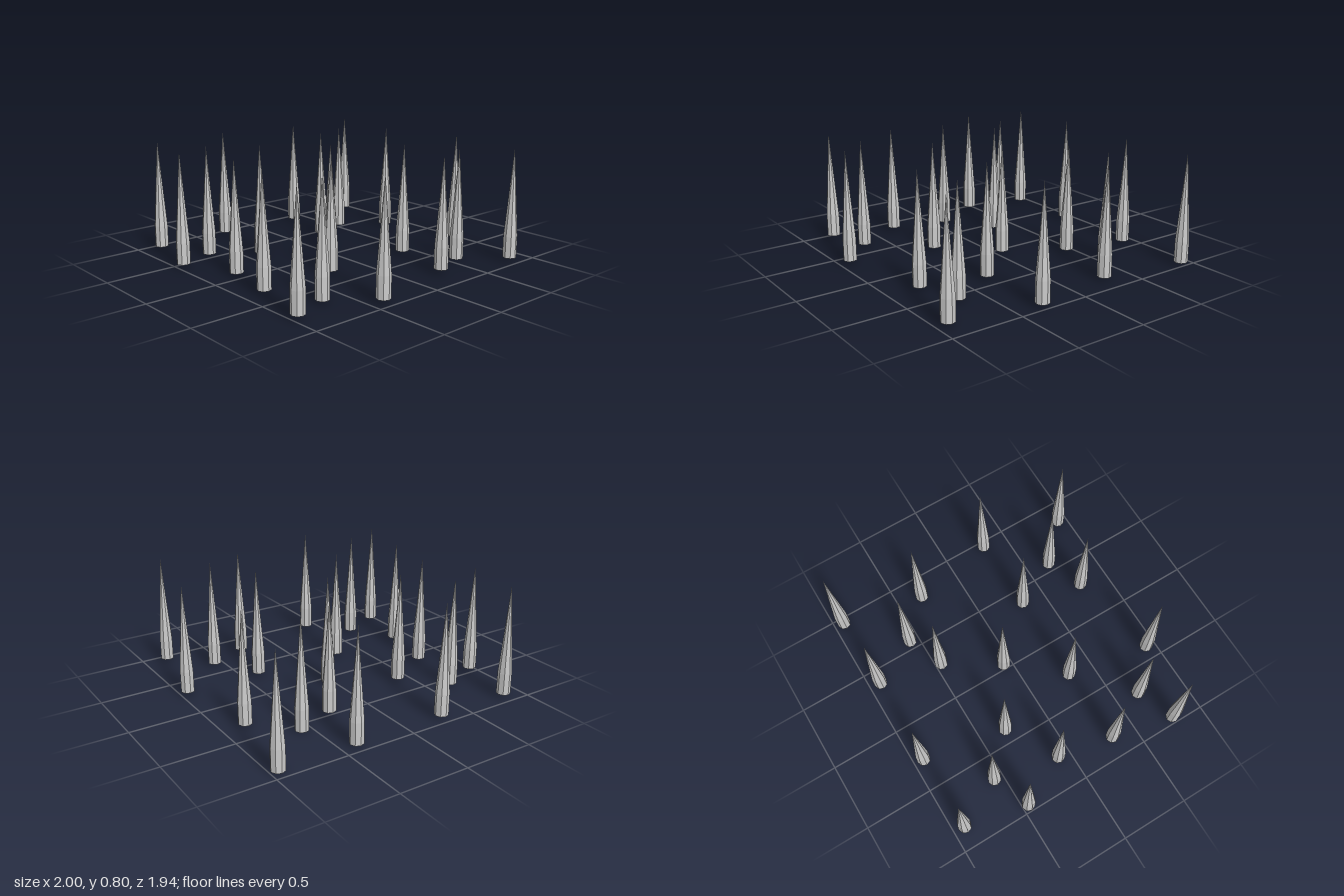
import * as THREE from 'three';

const SIDES = 8, RADIUS = 0.048, HEIGHT = 0.776, SHOULDER = 0.155;
const PERIOD = 1.234; // spacing of the repeated clusters

export function createModel() {
  const group = new THREE.Group();
  group.name = 'spikeField';
  const material = new THREE.MeshStandardMaterial({ color: 0xcccccc, flatShading: true, side: THREE.DoubleSide });

  // Spike profile: closed base, straight foot, long taper to a point
  const profile = [[0, 0], [RADIUS, 0], [RADIUS, SHOULDER], [0, HEIGHT]]
    .map(([r, y]) => new THREE.Vector2(r, y));
  const spikeGeometry = new THREE.LatheGeometry(profile, SIDES);

  const addSpike = (parent, x, y, z) => {
    const spike = new THREE.Mesh(spikeGeometry, material);
    spike.name = 'spike';
    spike.position.set(x, y, z);
    parent.add(spike);
  };

  // One cluster of five spikes: x, y, z
  const cluster = [
    [-0.85, 0.024, -0.915],
    [-0.285, 0.024, -0.926],
    [-0.67, 0.012, -0.567],
    [-0.951, 0.024, -0.457],
    [-0.4, 0.024, -0.312],
  ];

  // Four clusters on a square; the back left one sits slightly lower
  for (const i of [0, 1]) {
    for (const j of [0, 1]) {
      const part = new THREE.Group();
      part.name = `${j ? 'front' : 'back'}${i ? 'Left' : 'Right'}Cluster`;
      part.position.set(i * PERIOD, i && !j ? -0.012 : 0, j * PERIOD);
      cluster.forEach(([x, y, z]) => addSpike(part, x, y, z));
      group.add(part);
    }
  }

  // Two single spikes between the clusters
  const singles = new THREE.Group();
  singles.name = 'singleSpikes';
  addSpike(singles, -0.769, 0.012, -0.093);
  addSpike(singles, 0.035, 0.012, -0.063);
  group.add(singles);

  return group;
}
